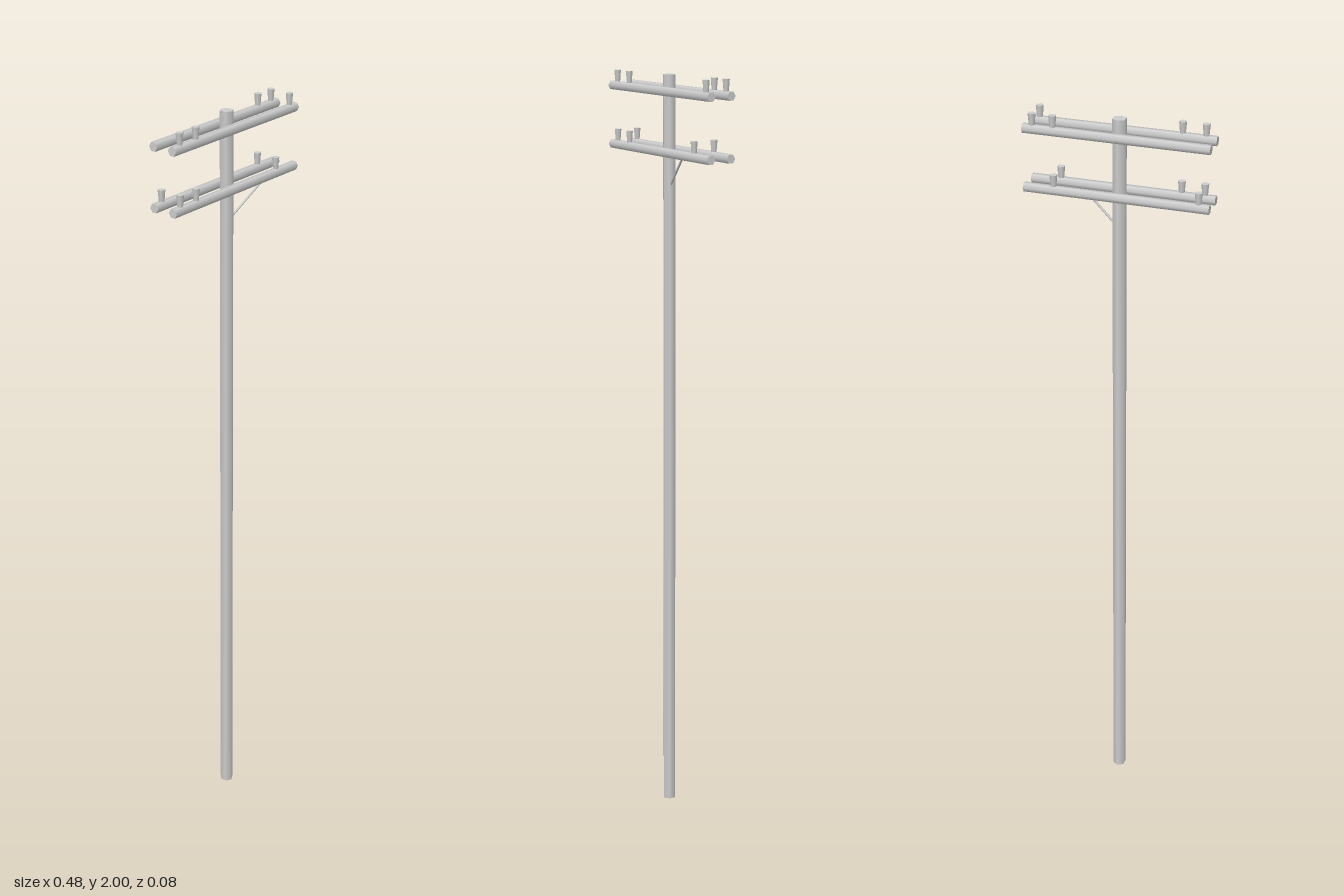
import * as THREE from 'three';

const material = new THREE.MeshStandardMaterial({ color: 0xcccccc });

// Six-sided rod standing on its base point
function hexRod(name, rTop, rBottom, height) {
  const geometry = new THREE.CylinderGeometry(rTop, rBottom, height, 6);
  geometry.translate(0, height / 2, 0);
  const mesh = new THREE.Mesh(geometry, material);
  mesh.name = name;
  return mesh;
}

// Six-sided rod running between two points
function rodBetween(name, radius, from, to) {
  const direction = to.clone().sub(from);
  const rod = hexRod(name, radius, radius, direction.length());
  rod.position.copy(from);
  rod.quaternion.setFromUnitVectors(new THREE.Vector3(0, 1, 0), direction.normalize());
  return rod;
}

// Horizontal arm with insulators at the given x positions
function crossarm(name, y, z, insulators) {
  const group = new THREE.Group();
  group.name = name;
  group.position.set(0, y, z);
  group.add(rodBetween('arm', 0.0125, new THREE.Vector3(-0.238, 0, 0), new THREE.Vector3(0.238, 0, 0)));
  for (const x of insulators) {
    const insulator = hexRod('insulator', 0.01, 0.007, 0.034);
    insulator.position.set(x, 0.0065, 0);
    group.add(insulator);
  }
  return group;
}

export function createModel() {
  const model = new THREE.Group();
  model.name = 'utilityPole';

  // Pole
  model.add(hexRod('pole', 0.018, 0.018, 2));

  // Paired crossarms, front and back of the pole
  const front = 0.0285, back = -0.0305;
  model.add(
    crossarm('upperFrontCrossarm', 1.9595, front, [-0.21, -0.151, 0.214]),
    crossarm('upperBackCrossarm', 1.9595, back, [0.161, 0.214]),
    crossarm('lowerFrontCrossarm', 1.806, front, [-0.21, -0.151, 0.161]),
    crossarm('lowerBackCrossarm', 1.806, back, [-0.21, 0.161])
  );

  // Diagonal brace under the lower front arm
  model.add(rodBetween('brace', 0.003,
    new THREE.Vector3(0.008, 1.718, 0.002), new THREE.Vector3(0.108, 1.8, 0.029)));

  return model;
}
